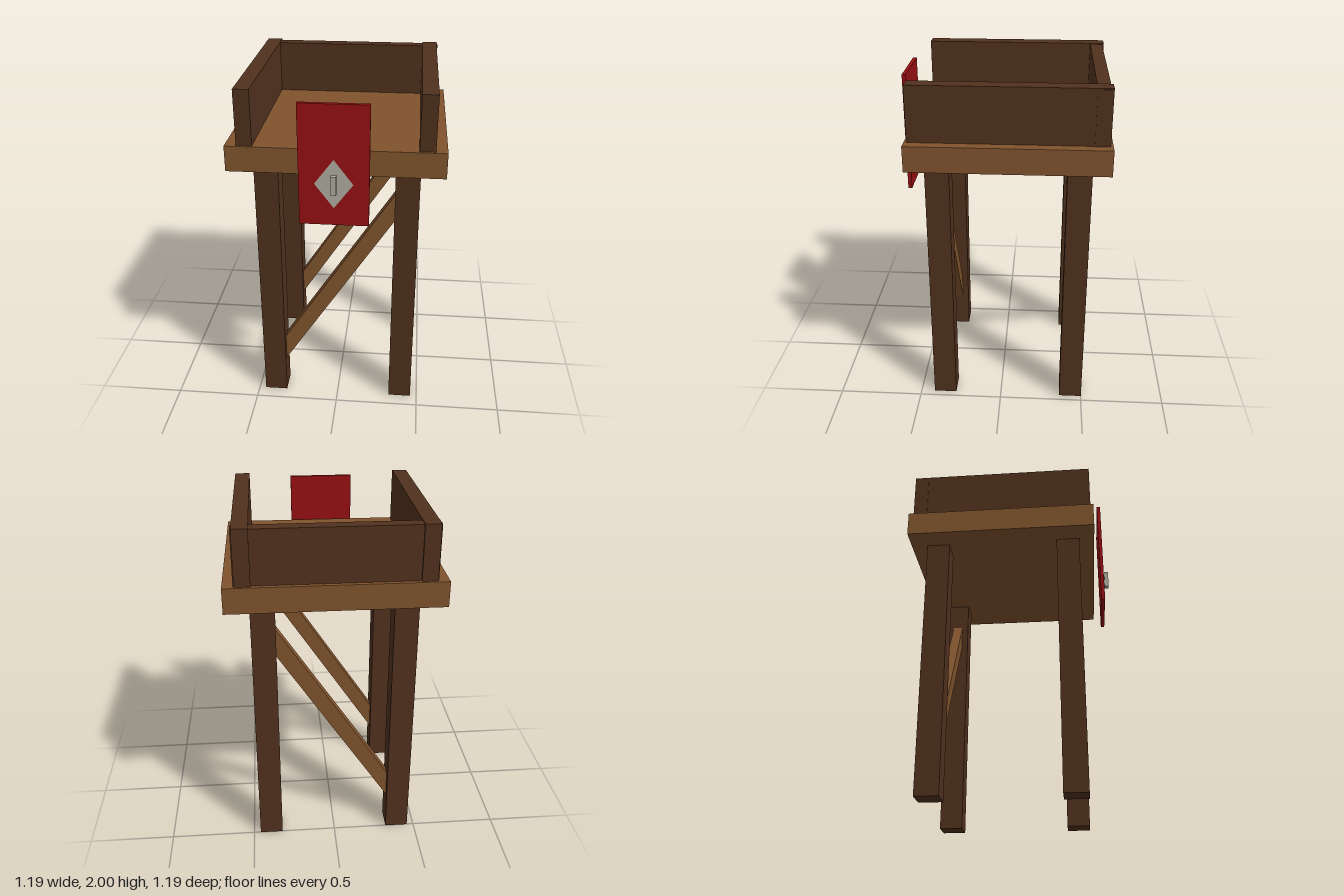
import * as THREE from 'three';

const paint = (color) => new THREE.MeshStandardMaterial({ color });

export function createModel() {
  const group = new THREE.Group();
  const darkWood = paint(0x50311d);
  const lightWood = paint(0x80532d);
  const red = paint(0x961013);
  const metal = paint(0xb0aea0);

  // Box given by its extents along each axis
  function box(name, material, [x0, x1], [y0, y1], [z0, z1]) {
    const mesh = new THREE.Mesh(new THREE.BoxGeometry(x1 - x0, y1 - y0, z1 - z0), material);
    mesh.position.set((x0 + x1) / 2, (y0 + y1) / 2, (z0 + z1) / 2);
    mesh.name = name;
    group.add(mesh);
    return mesh;
  }

  // Legs, with one diagonal brace across each pair
  const legX = 0.392, legHalf = 0.068;
  for (const [end, z] of [['front', 0.349], ['back', -0.434]]) {
    for (const [side, s] of [['Left', 1], ['Right', -1]]) {
      const x = s * legX;
      box(`${end}${side}Leg`, darkWood, [x - legHalf, x + legHalf], [0, 1.545], [z - legHalf, z + legHalf]);
    }
    const brace = box(`${end}Brace`, lightWood, [-0.71, 0.71], [0.755, 0.845], [z - 0.03, z + 0.03]);
    brace.rotation.z = Math.atan2(1.0, 0.65);
  }

  // Platform
  box('platform', lightWood, [-0.595, 0.595], [1.545, 1.69], [-0.597, 0.506]);

  // Low walls on three sides
  box('leftWall', darkWood, [0.445, 0.532], [1.69, 2], [-0.583, 0.491]);
  box('rightWall', darkWood, [-0.532, -0.445], [1.69, 2], [-0.583, 0.491]);
  box('backWall', darkWood, [-0.537, 0.537], [1.69, 1.995], [-0.572, -0.5]);

  // Hanging panel in front
  box('frontPanel', red, [-0.19, 0.19], [1.275, 1.96], [0.54, 0.562]);

  // Flat diamond on the panel
  const diamondShape = new THREE.Shape([
    new THREE.Vector2(0.105, 0), new THREE.Vector2(0, 0.14),
    new THREE.Vector2(-0.105, 0), new THREE.Vector2(0, -0.14),
  ]);
  const diamond = new THREE.Mesh(new THREE.ShapeGeometry(diamondShape), metal);
  diamond.position.set(0, 1.518, 0.566);
  diamond.name = 'diamondPlate';
  group.add(diamond);

  // Small upright bar in front of the diamond
  box('diamondBar', metal, [-0.015, 0.015], [1.465, 1.572], [0.572, 0.597]);

  return group;
}
